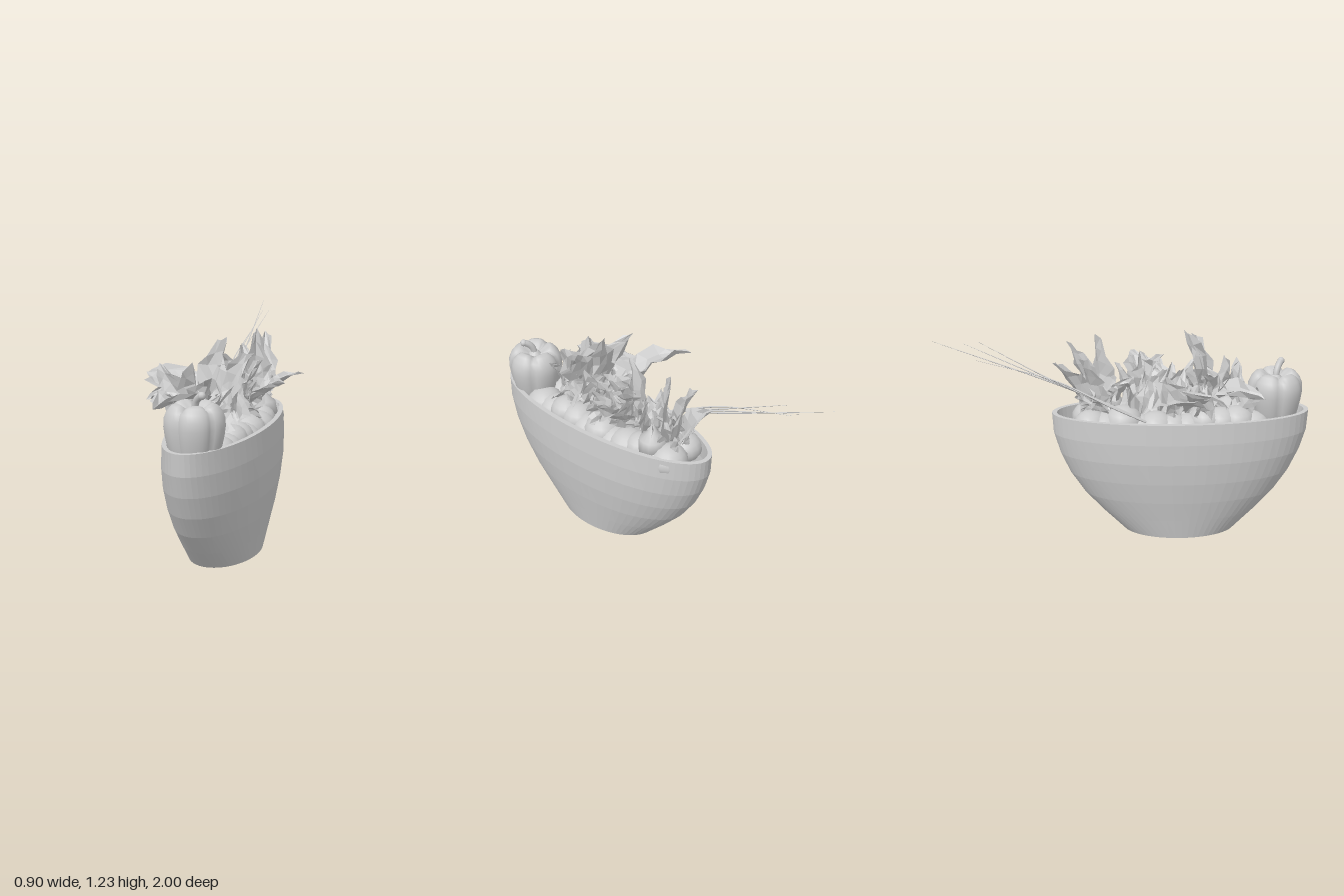
import * as THREE from 'three';

const V = (x, y, z) => new THREE.Vector3(x, y, z);
const TURN = 0.268, CX = 0.128, CZ = 0.28;

const flat = new THREE.MeshStandardMaterial({ color: 0xcccccc, flatShading: true });
const smooth = new THREE.MeshStandardMaterial({ color: 0xcccccc });
const leafMat = new THREE.MeshStandardMaterial({ color: 0xcccccc, flatShading: true, side: THREE.DoubleSide });

let seed = 7;
const rand = () => (seed = (seed * 16807) % 2147483647) / 2147483647;
const jitter = (s) => (rand() - 0.5) * 2 * s;

function add(parent, name, geo, mat) {
  const mesh = new THREE.Mesh(geo, mat);
  mesh.name = name;
  parent.add(mesh);
  return mesh;
}

function group(parent, name) {
  const g = new THREE.Group();
  g.name = name;
  parent.add(g);
  return g;
}

// Point inside the bowl: t along the long axis, s across it
const inBowl = (t, y, s = 0) => V(
  CX + t * Math.sin(TURN) + s * Math.cos(TURN), y,
  CZ + t * Math.cos(TURN) - s * Math.sin(TURN));

// Hollow oval bowl; each row is [half length, half width, height]
function bowlGeometry() {
  const outer = [[0.328, 0.193, 0], [0.45, 0.214, 0.12], [0.56, 0.236, 0.24], [0.643, 0.254, 0.365],
    [0.7, 0.264, 0.49], [0.735, 0.261, 0.61], [0.743, 0.249, 0.73]];
  const inner = outer.map(([a, b, y]) => [a - 0.028, b - 0.028, Math.max(y, 0.03)]).reverse();
  const rows = [[0, 0, 0], ...outer, ...inner, [0, 0, 0.03]];
  const geo = new THREE.LatheGeometry(rows.map((r) => new THREE.Vector2(1, r[2])), 64);
  const p = geo.attributes.position;
  for (let i = 0; i < p.count; i++) {
    const [a, b] = rows[i % rows.length];
    p.setX(i, p.getX(i) * b);
    p.setZ(i, p.getZ(i) * a);
  }
  return geo;
}

// Bell pepper body with five lobes pressed into a lathe
function pepperGeometry() {
  const curve = new THREE.SplineCurve([[0, 0.63], [0.1, 0.64], [0.143, 0.75], [0.155, 0.88],
    [0.1, 0.957], [0.03, 0.915], [0, 0.91]].map((q) => new THREE.Vector2(...q)));
  const profile = curve.getPoints(16).map((q) => q.setX(Math.max(q.x, 0)));
  const geo = new THREE.LatheGeometry(profile, 50);
  const p = geo.attributes.position;
  for (let i = 0; i < p.count; i++) {
    const x = p.getX(i), z = p.getZ(i), y = p.getY(i);
    const groove = Math.pow(1 - Math.abs(Math.sin(2.5 * Math.atan2(x, z))), 2);
    const k = 1.02 - 0.13 * groove;
    p.setXYZ(i, x * k, y - (y > 0.92 ? 0.025 * groove : 0), z * k);
  }
  geo.computeVertexNormals();
  return geo;
}

// Crumpled leaf with a folded midrib and a jagged edge
function leafGeometry(base, tip, width, normal) {
  const rows = 6, cols = 4, pos = [], idx = [];
  const dir = tip.clone().sub(base);
  const side = dir.clone().cross(normal).normalize();
  const up = side.clone().cross(dir).normalize();
  for (let i = 0; i <= rows; i++) {
    const u = i / rows;
    const half = width * (0.08 + 0.47 * Math.sin(Math.PI * Math.pow(u, 0.8) * 0.96)) * (i % 2 ? 0.8 : 1.1);
    for (let j = 0; j <= cols; j++) {
      const v = (j / cols) * 2 - 1;
      const isTip = i === rows && v === 0;
      const lift = isTip ? 0 : Math.abs(v) * width * 0.22 + Math.sin(Math.PI * u) * width * 0.18 + jitter(width * 0.07);
      const along = u - Math.abs(v) * 0.1 * u + (Math.abs(v) === 1 ? jitter(0.06) : 0);
      const q = base.clone().addScaledVector(dir, along)
        .addScaledVector(side, v * half).addScaledVector(up, lift);
      pos.push(q.x, q.y, q.z);
      if (i < rows && j < cols) {
        const a = i * (cols + 1) + j, b = a + cols + 1;
        idx.push(a, a + 1, b, a + 1, b + 1, b);
      }
    }
  }
  const geo = new THREE.BufferGeometry();
  geo.setAttribute('position', new THREE.Float32BufferAttribute(pos, 3));
  geo.setIndex(idx);
  geo.computeVertexNormals();
  return geo;
}

function addPepper(model) {
  const g = group(model, 'pepper');
  g.position.set(0.285, 0, 0.805);
  add(g, 'pepperBody', pepperGeometry(), smooth);
  const path = new THREE.QuadraticBezierCurve3(V(0, 0.9, 0), V(0, 0.98, 0), V(0.06, 1, 0.02));
  add(g, 'pepperStem', new THREE.TubeGeometry(path, 8, 0.019, 8), smooth);
  add(g, 'pepperStemTip', new THREE.SphereGeometry(0.021, 8, 6), smooth).position.copy(path.v2);
  add(g, 'pepperCollar', new THREE.CylinderGeometry(0.02, 0.045, 0.025, 10), smooth).position.y = 0.922;
}

// One bunch of large leaves fanning out from a shared root
function addBunch(parent, root, normal, width, tips) {
  for (const t of tips) {
    const tip = V(...t);
    const base = root.clone().lerp(tip, 0.12).setY(root.y);
    add(parent, 'largeLeaf', leafGeometry(base, tip, width, normal), leafMat);
  }
}

function addLeaves(model) {
  const g = group(model, 'leaves');
  addBunch(g, V(0.04, 0.78, 0.35), V(-0.1, 1, 0.3), 0.27,
    [[-0.45, 0.945, 0.23], [0, 0.88, 0.78], [-0.18, 0.88, 0.6]]);
  addBunch(g, V(0.08, 0.76, 0.38), V(-0.1, 0.3, 1), 0.21,
    [[-0.19, 1.06, 0.46], [0.14, 1.21, 0.29], [0.32, 1.14, 0.3], [0.08, 1.1, 0.53], [0.24, 1.04, 0.58]]);
  addBunch(g, V(-0.03, 0.72, -0.2), V(0.8, 0.1, 0.6), 0.18,
    [[0.02, 1.19, -0.2], [-0.02, 1.15, -0.36], [-0.1, 1.04, -0.42], [-0.12, 1.08, -0.26]]);
  addBunch(g, V(0.12, 0.77, 0.08), V(-0.3, 1, 0.2), 0.18,
    [[0.41, 0.98, -0.08], [0.39, 0.95, 0.09], [0.2, 1.05, 0.02], [0.02, 1.1, 0.2]]);

  // Small filler leaves scattered along the bowl
  for (let i = 0; i < 36; i++) {
    const base = inBowl(-0.58 + (i / 35) * 0.95, 0.72 + rand() * 0.05, jitter(0.1));
    const tip = base.clone().add(V(jitter(0.13), 0.1 + rand() * 0.16, jitter(0.13)));
    add(g, 'smallLeaf', leafGeometry(base, tip, 0.1 + rand() * 0.07, V(jitter(1), 0.4, jitter(1))), leafMat);
  }
}

// Rounded vegetables that fill the bowl beneath the leaves
function addFilling(model) {
  const g = group(model, 'filling');
  for (let i = 0; i < 11; i++) {
    const t = -0.52 + i * 0.093;
    const spread = 0.1 * Math.sqrt(1 - (t / 0.75) ** 2);
    for (const s of [-1, 1]) {
      const veg = add(g, 'vegetable', new THREE.SphereGeometry(0.095 + rand() * 0.02, 14, 10), smooth);
      veg.scale.y = 0.85;
      veg.position.copy(inBowl(t, 0.675 + jitter(0.025), s * spread));
    }
  }
  // Bulb with a pointed neck
  const bulb = [[0, 0.64], [0.09, 0.71], [0.075, 0.78], [0.03, 0.82], [0, 0.89]];
  add(g, 'bulb', new THREE.LatheGeometry(bulb.map((q) => new THREE.Vector2(...q)), 14), smooth)
    .position.set(0.1, 0, -0.14);
}

// Long thin stalks trailing out over the back
function addStalks(model) {
  const g = group(model, 'stalks');
  const tips = [[-0.43, 1.23, -1], [-0.31, 1.19, -0.87], [-0.3, 1.2, -0.78], [-0.35, 1.11, -0.78]];
  tips.forEach((tip, i) => {
    const path = new THREE.CatmullRomCurve3([
      V(-0.08, 0.72, 0.12), V(-0.14 - i * 0.006, 0.83, -0.08),
      V(-0.2 - i * 0.01, 0.95 + i * 0.01, -0.36), V(...tip)]);
    const geo = new THREE.TubeGeometry(path, 12, 0.008, 4);
    // Taper towards the tip
    const p = geo.attributes.position, q = V(0, 0, 0);
    for (let k = 0; k < p.count; k++) {
      const u = Math.floor(k / 5) / 12;
      q.fromBufferAttribute(p, k).lerp(path.getPointAt(u), u * 0.9);
      p.setXYZ(k, q.x, q.y, q.z);
    }
    add(g, 'stalk', geo, flat);
  });
}

export function createModel() {
  const model = new THREE.Group();
  model.name = 'vegetableBowl';
  const bowl = add(model, 'bowl', bowlGeometry(), flat);
  bowl.rotation.y = TURN;
  bowl.position.set(CX, 0, CZ);
  addPepper(model);
  addLeaves(model);
  addFilling(model);
  addStalks(model);
  return model;
}
